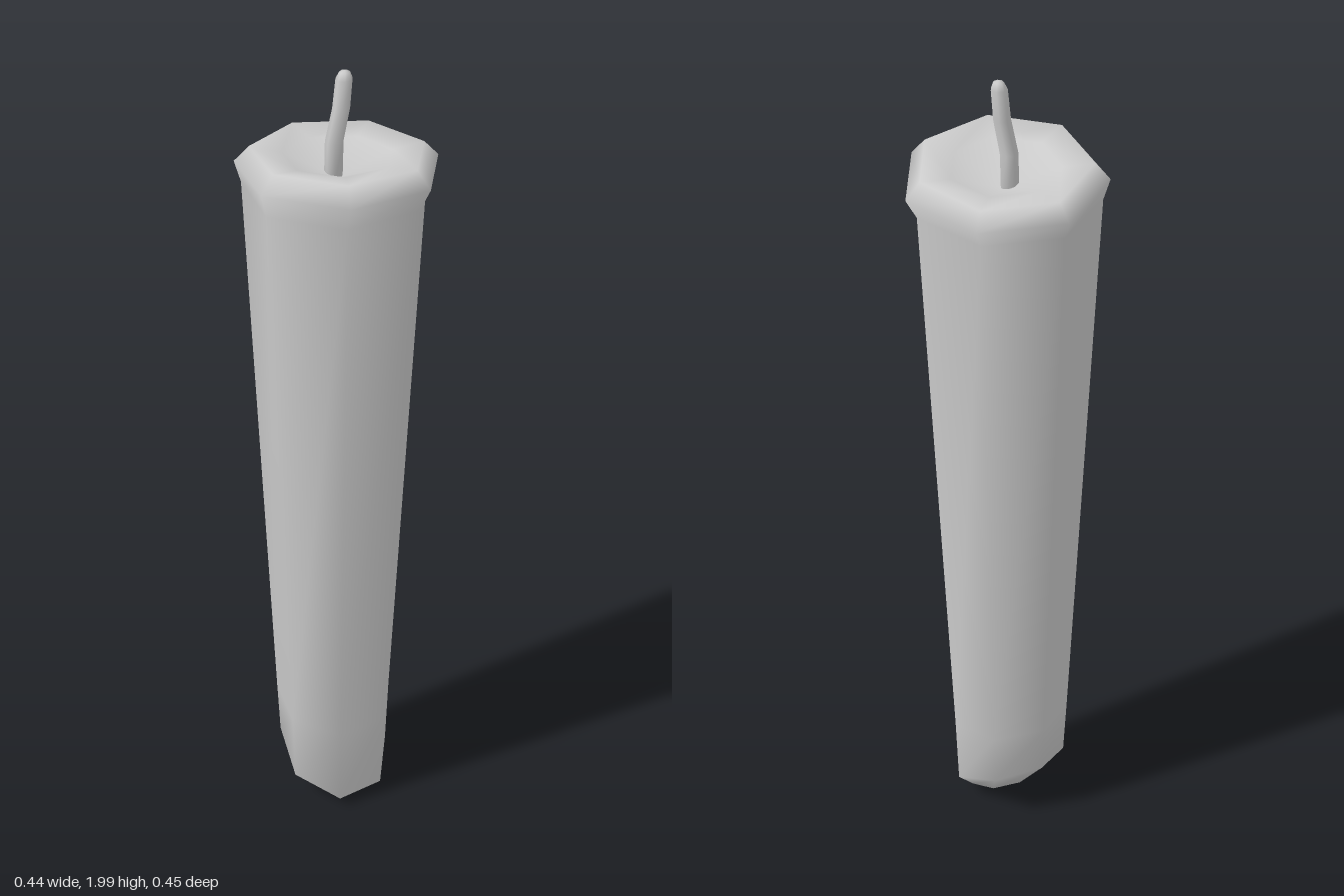
import * as THREE from 'three';

// Skins a stack of rings; each ring is [radius, centreX, y, slopeX, slopeZ, centreZ].
// Both ends are closed with a fan of triangles to a centre point.
function loft(rings, sides, startY, endY) {
  const pos = [], index = [];
  for (const [r, cx, y, sx = 0, sz = 0, cz = 0] of rings) {
    for (let i = 0; i < sides; i++) {
      const a = Math.PI + (i / sides) * Math.PI * 2;
      const x = r * Math.cos(a), z = r * Math.sin(a);
      pos.push(cx + x, y + sx * x + sz * z, cz + z);
    }
  }
  const first = rings[0], last = rings[rings.length - 1];
  const start = rings.length * sides, end = start + 1;
  pos.push(first[1], startY, first[5] ?? 0, last[1], endY, last[5] ?? 0);
  const top = (rings.length - 1) * sides;
  for (let i = 0; i < sides; i++) {
    const n = (i + 1) % sides;
    for (let k = 0; k < rings.length - 1; k++) {
      const a = k * sides + i, b = k * sides + n;
      index.push(a, a + sides, b, b, a + sides, b + sides);
    }
    index.push(start, i, n, end, top + n, top + i);
  }
  const g = new THREE.BufferGeometry();
  g.setAttribute('position', new THREE.Float32BufferAttribute(pos, 3));
  g.setIndex(index);
  g.computeVertexNormals();
  return g;
}

export function createModel() {
  const model = new THREE.Group();
  model.name = 'candle';
  const wax = new THREE.MeshStandardMaterial({ color: 0xcccccc });
  wax.name = 'pale grey';

  // Tapered seven-sided body: slanted foot, flared lip and hollow top
  const body = new THREE.Mesh(loft([
    [0.08, 0.02, 0.032, -0.2, -0.3, 0.01],
    [0.14, 0, 0.095, -0.29, -0.39],
    [0.147, 0, 0.27, -0.1, -0.1],
    [0.212, 0.005, 1.72, 0, 0.04],
    [0.232, 0.01, 1.77, 0, 0.08],
    [0.198, 0.01, 1.808, 0, 0.1],
    [0.125, 0.01, 1.797, 0, 0.1],
  ], 7, 0.022, 1.745), wax);
  body.name = 'waxBody';

  // Slightly bent wick with a rounded tip
  const wick = new THREE.Mesh(loft([
    [0.021, -0.002, 1.74],
    [0.021, 0, 1.83],
    [0.02, 0.015, 1.91],
    [0.019, 0.021, 1.98],
    [0.012, 0.022, 1.996],
  ], 7, 1.74, 2.0), wax);
  wick.name = 'wick';

  model.add(body, wick);
  return model;
}
